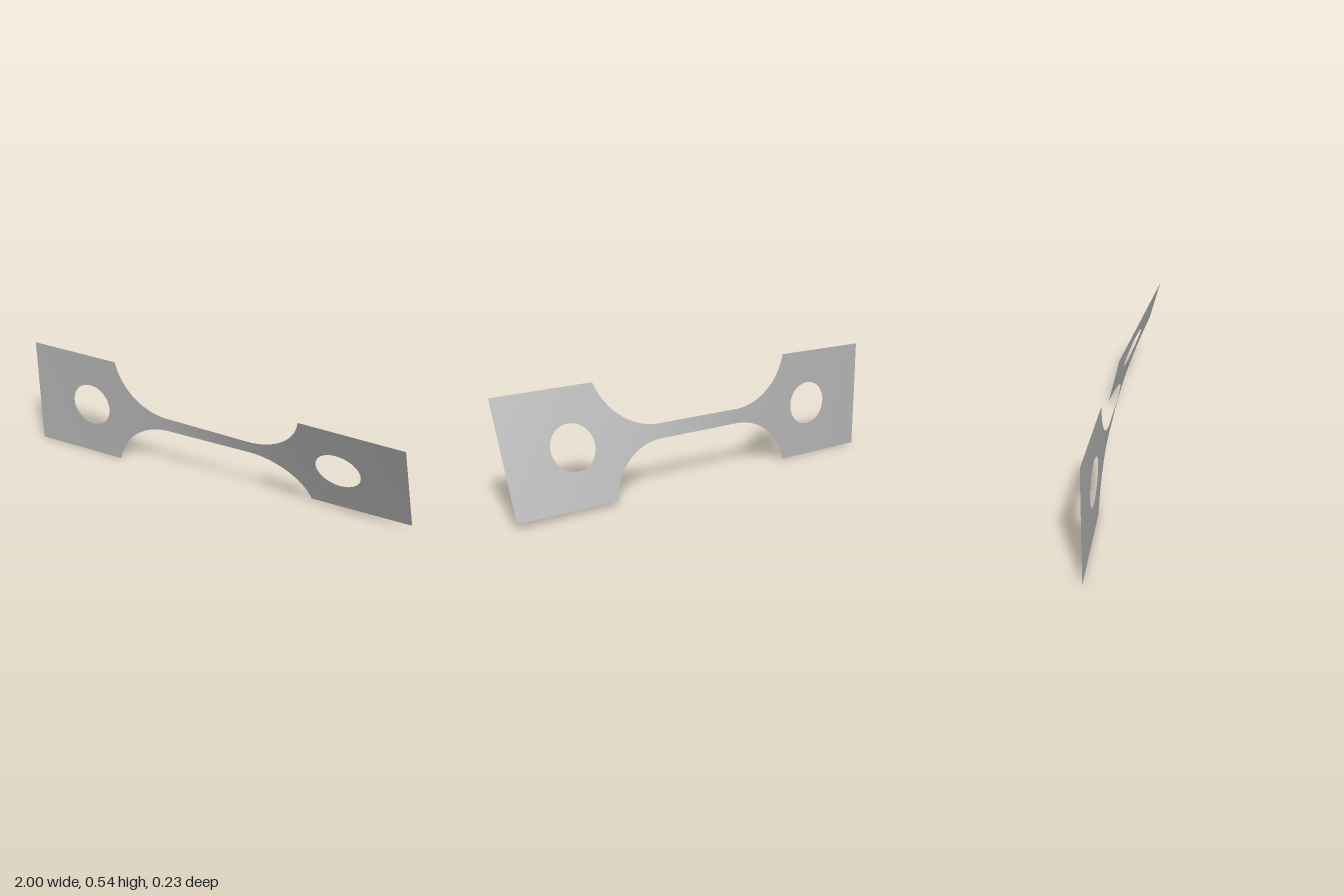
import * as THREE from 'three';

const TAB_IN = 0.51, TAB_HALF = 0.2715, NECK_HALF = 0.035;
const FILLET = 0.3, HOLE_X = 0.67, HOLE_R = 0.108;
const ANGLE = THREE.MathUtils.degToRad(24.8);
const DIV = 16; // divisions shared by the neck and each tab side

// Half height of the flat strip at x
const rise = TAB_HALF - NECK_HALF;
const NECK_END = TAB_IN - Math.sqrt(FILLET ** 2 - (FILLET - rise) ** 2);
function halfHeight(x) {
  const d = Math.abs(x) - NECK_END;
  if (d <= 0) return NECK_HALF;
  if (d >= TAB_IN - NECK_END) return TAB_HALF;
  return NECK_HALF + FILLET - Math.sqrt(FILLET ** 2 - d * d);
}

// Twist accumulates along x, faster where the strip is narrower
const STEPS = 800, twist = [0];
for (let i = 0; i < STEPS; i++) {
  twist.push(twist[i] + 1 / halfHeight(-1 + (2 * (i + 0.5)) / STEPS));
}
function twistAt(x) {
  const t = THREE.MathUtils.clamp((x + 1) / 2, 0, 1) * STEPS;
  const i = Math.min(Math.floor(t), STEPS - 1);
  return (ANGLE * THREE.MathUtils.lerp(twist[i], twist[i + 1], t - i)) / twist[STEPS];
}

// Twisted sheet from a flat rule (u, v) -> [x, y]
function sheet(name, nu, nv, flat, material) {
  const pos = [], index = [];
  for (let i = 0; i <= nu; i++) {
    for (let j = 0; j <= nv; j++) {
      const [x, y] = flat(i / nu, j / nv);
      const a = twistAt(x);
      pos.push(x, TAB_HALF + y * Math.cos(a), y * Math.sin(a));
      if (i < nu && j < nv) {
        const p = i * (nv + 1) + j, q = p + nv + 1;
        index.push(p, q, q + 1, p, q + 1, p + 1);
      }
    }
  }
  const g = new THREE.BufferGeometry();
  g.setAttribute('position', new THREE.Float32BufferAttribute(pos, 3));
  g.setIndex(index);
  g.computeVertexNormals();
  const mesh = new THREE.Mesh(g, material);
  mesh.name = name;
  return mesh;
}

// Rectangular tab: rings running from the round hole out to the outline
function tab(name, side, material) {
  const cx = side * HOLE_X;
  const x0 = side > 0 ? TAB_IN : -1, x1 = side > 0 ? 1 : -TAB_IN;
  const corners = [[x0, -TAB_HALF], [x1, -TAB_HALF], [x1, TAB_HALF], [x0, TAB_HALF]];
  return sheet(name, 6, 4 * DIV, (u, v) => {
    const s = v * 4, k = Math.min(Math.floor(s), 3), f = s - k;
    const a = corners[k], b = corners[(k + 1) % 4];
    const ox = THREE.MathUtils.lerp(a[0], b[0], f);
    const oy = THREE.MathUtils.lerp(a[1], b[1], f);
    const t = Math.atan2(oy, ox - cx);
    return [
      THREE.MathUtils.lerp(cx + HOLE_R * Math.cos(t), ox, u),
      THREE.MathUtils.lerp(HOLE_R * Math.sin(t), oy, u),
    ];
  }, material);
}

export function createModel() {
  const metal = new THREE.MeshStandardMaterial({ color: 0xb3b3b3, side: THREE.DoubleSide });
  metal.name = 'grey metal';

  const group = new THREE.Group();
  group.name = 'twistedTestStrip';
  group.add(tab('rightTab', -1, metal), tab('leftTab', 1, metal));

  // Narrow neck with its fillets
  group.add(sheet('neck', 120, DIV, (u, v) => {
    const x = THREE.MathUtils.lerp(-TAB_IN, TAB_IN, u);
    return [x, halfHeight(x) * (2 * v - 1)];
  }, metal));
  return group;
}
